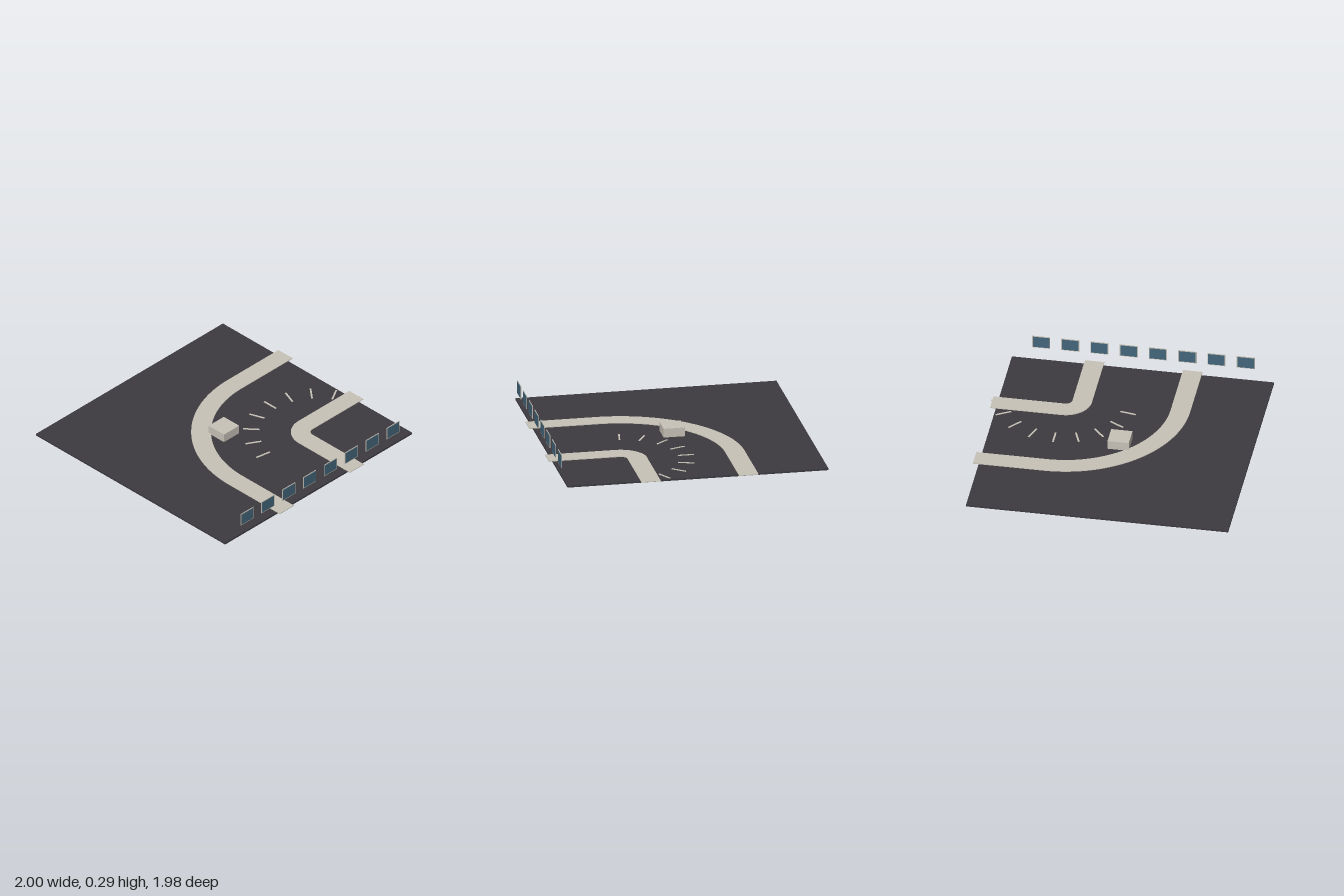
import * as THREE from 'three';

const asphalt = new THREE.MeshStandardMaterial({ name: 'asphalt', color: 0x3c3a40 });
const concrete = new THREE.MeshStandardMaterial({ name: 'concrete', color: 0xc8c2b7 });
const glass = new THREE.MeshStandardMaterial({ name: 'glass', color: 0x43667a });

// Shared centre of the bend, on the ground plane
const CX = 0.458, CZ = 0.46, END = 0.985;

function box(name, material, [w, h, d], [x, y, z]) {
  const mesh = new THREE.Mesh(new THREE.BoxGeometry(w, h, d), material);
  mesh.name = name;
  mesh.position.set(x, y, z);
  return mesh;
}

// Strip with two straight legs joined by a quarter bend; shape y runs along -z
function bentStrip(name, outer, inner) {
  const s = new THREE.Shape();
  s.moveTo(CX - outer, -END);
  s.lineTo(CX - outer, -CZ);
  s.absarc(CX, -CZ, outer, Math.PI, Math.PI / 2, true);
  s.lineTo(END, -CZ + outer);
  s.lineTo(END, -CZ + inner);
  s.absarc(CX, -CZ, inner, Math.PI / 2, Math.PI, false);
  s.lineTo(CX - inner, -END);
  s.closePath();
  const geo = new THREE.ExtrudeGeometry(s, { depth: 0.005, bevelEnabled: false, curveSegments: 32 });
  geo.rotateX(-Math.PI / 2);
  const mesh = new THREE.Mesh(geo, concrete);
  mesh.name = name;
  mesh.position.y = 0.099;
  return mesh;
}

export function createModel() {
  const model = new THREE.Group();
  model.name = 'streetCorner';

  // Ground slab and the block set through it
  model.add(box('groundSlab', asphalt, [1.943, 0.013, 1.943], [-0.028, 0.09, -0.019]));
  model.add(box('block', concrete, [0.158, 0.164, 0.158], [-0.028, 0.082, -0.02]));

  // Pavements either side of the bend
  model.add(bentStrip('outerPavement', 0.922, 0.777));
  model.add(bentStrip('innerPavement', 0.194, 0.05));

  // Lane dashes fanned around the bend
  const dashes = new THREE.Group();
  dashes.name = 'laneDashes';
  for (let i = 0; i < 9; i++) {
    const a = THREE.MathUtils.degToRad(10 + i * 20);
    const r = 0.485;
    const dash = box('laneDash', concrete, [0.12, 0.004, 0.013],
      [CX + r * Math.cos(a), 0.099, CZ - r * Math.sin(a)]);
    dash.rotation.y = a;
    dashes.add(dash);
  }
  model.add(dashes);

  // Row of framed windows along the front
  const windows = new THREE.Group();
  windows.name = 'windowRow';
  for (let i = 0; i < 8; i++) {
    const x = -0.787 + i * 0.2167;
    windows.add(box('windowFrame', concrete, [0.134, 0.1, 0.004], [x, 0.237, 0.967]));
    windows.add(box('windowPane', glass, [0.122, 0.088, 0.007], [x, 0.237, 0.967]));
  }
  model.add(windows);
  return model;
}
